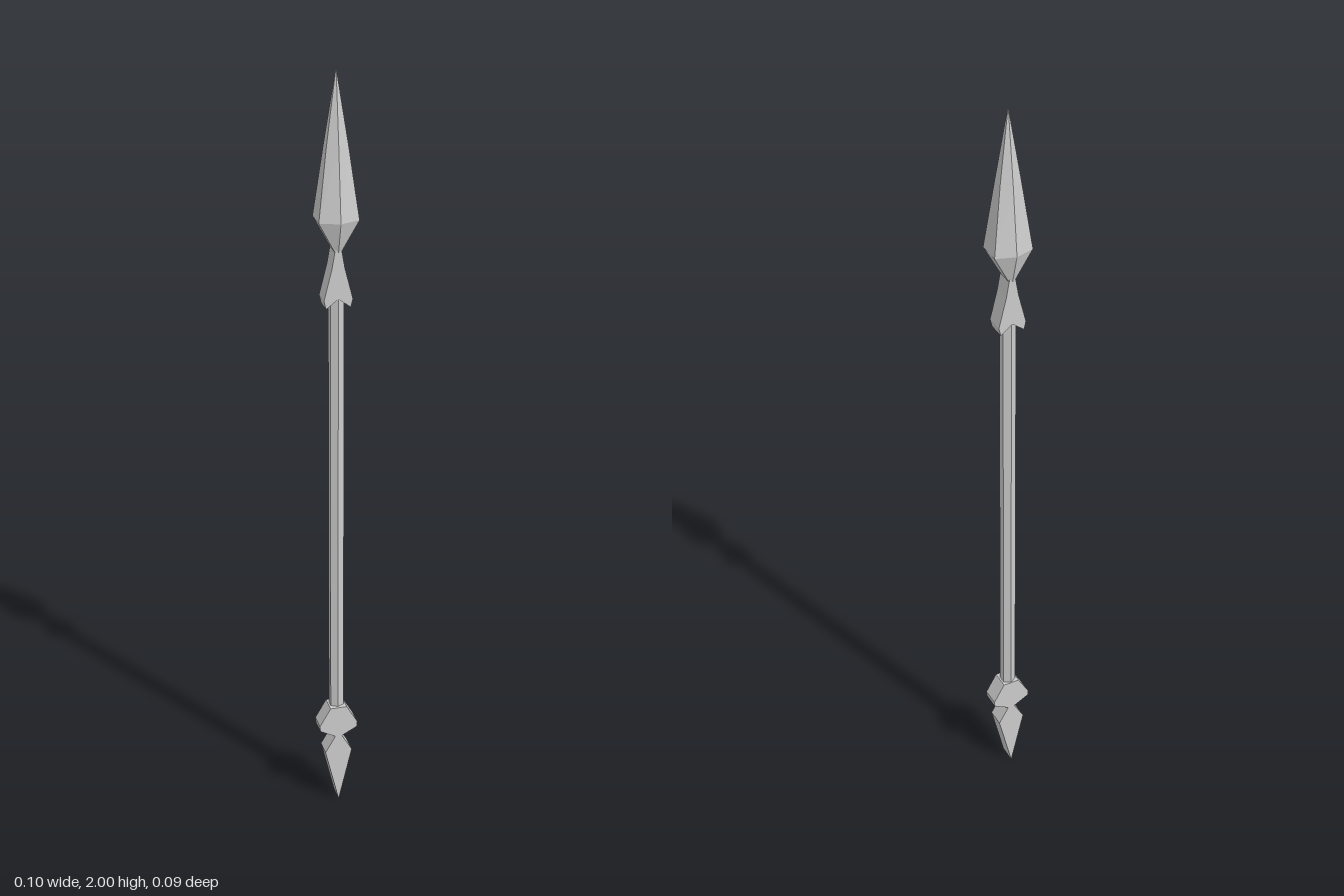
import * as THREE from 'three';

const material = new THREE.MeshStandardMaterial({ color: 0xcccccc, flatShading: true });

function addMesh(group, name, geometry) {
  const mesh = new THREE.Mesh(geometry, material);
  mesh.name = name;
  group.add(mesh);
  return mesh;
}

// Mirror a right-hand outline (top to bottom) and extrude it along z.
function symmetricPlate(half, depth, zCentre) {
  const left = half.filter(([x]) => x > 0).map(([x, y]) => [-x, y]).reverse();
  const shape = new THREE.Shape([...half, ...left].map(([x, y]) => new THREE.Vector2(x, y)));
  const geometry = new THREE.ExtrudeGeometry(shape, { depth, bevelEnabled: false });
  return geometry.translate(0, 0, zCentre - depth / 2);
}

// Loft six-sided sections: flat sides at +-x and a ridge at +-z.
function bladeGeometry(sections) {
  const positions = [];
  const index = [];
  for (const { y, x, side, ridge } of sections) {
    positions.push(0, y, ridge, x, y, side, x, y, -side, 0, y, -ridge, -x, y, -side, -x, y, side);
  }
  const last = (sections.length - 1) * 6;
  for (let s = 0; s < last; s += 6) {
    for (let i = 0; i < 6; i++) {
      const a = s + i, b = s + (i + 1) % 6;
      index.push(a, b, b + 6, a, b + 6, a + 6);
    }
  }
  // Caps
  for (let i = 1; i < 5; i++) {
    index.push(0, i + 1, i, last, last + i, last + i + 1);
  }
  const geometry = new THREE.BufferGeometry();
  geometry.setAttribute('position', new THREE.Float32BufferAttribute(positions, 3));
  geometry.setIndex(index);
  const flat = geometry.toNonIndexed();
  flat.computeVertexNormals();
  return flat;
}

export function createModel() {
  const spear = new THREE.Group();
  spear.name = 'spear';

  // Faceted spearhead, widest near its base
  addMesh(spear, 'blade', bladeGeometry([
    { y: 1.56, x: 0.008, side: 0.02, ridge: 0.024 },
    { y: 1.64, x: 0.05, side: 0.03, ridge: 0.046 },
    { y: 1.82, x: 0.027, side: 0.014, ridge: 0.026 },
    { y: 2.0, x: 0.001, side: 0.001, ridge: 0.002 },
  ]));

  // Flared socket with a notched lower edge
  addMesh(spear, 'socket', symmetricPlate([
    [0.008, 1.567], [0.016, 1.52], [0.036, 1.44], [0.031, 1.418], [0, 1.442],
  ], 0.047, 0));

  // Six-sided shaft
  const shaft = addMesh(spear, 'shaft', new THREE.CylinderGeometry(0.02, 0.02, 1.18, 6));
  shaft.geometry.rotateY(Math.PI / 6);
  shaft.geometry.rotateY(Math.PI / 3 * 2 - Math.PI / 6 + Math.PI / 2 - Math.PI / 2);
  shaft.position.set(0, 0.86, 0.002);

  // Butt: waisted collar running down to a wedge
  addMesh(spear, 'butt', symmetricPlate([
    [0.022, 0.288], [0.051, 0.237], [0.05, 0.222], [0.009, 0.2], [0.036, 0.153], [0, 0],
  ], 0.048, 0.004));

  return spear;
}
